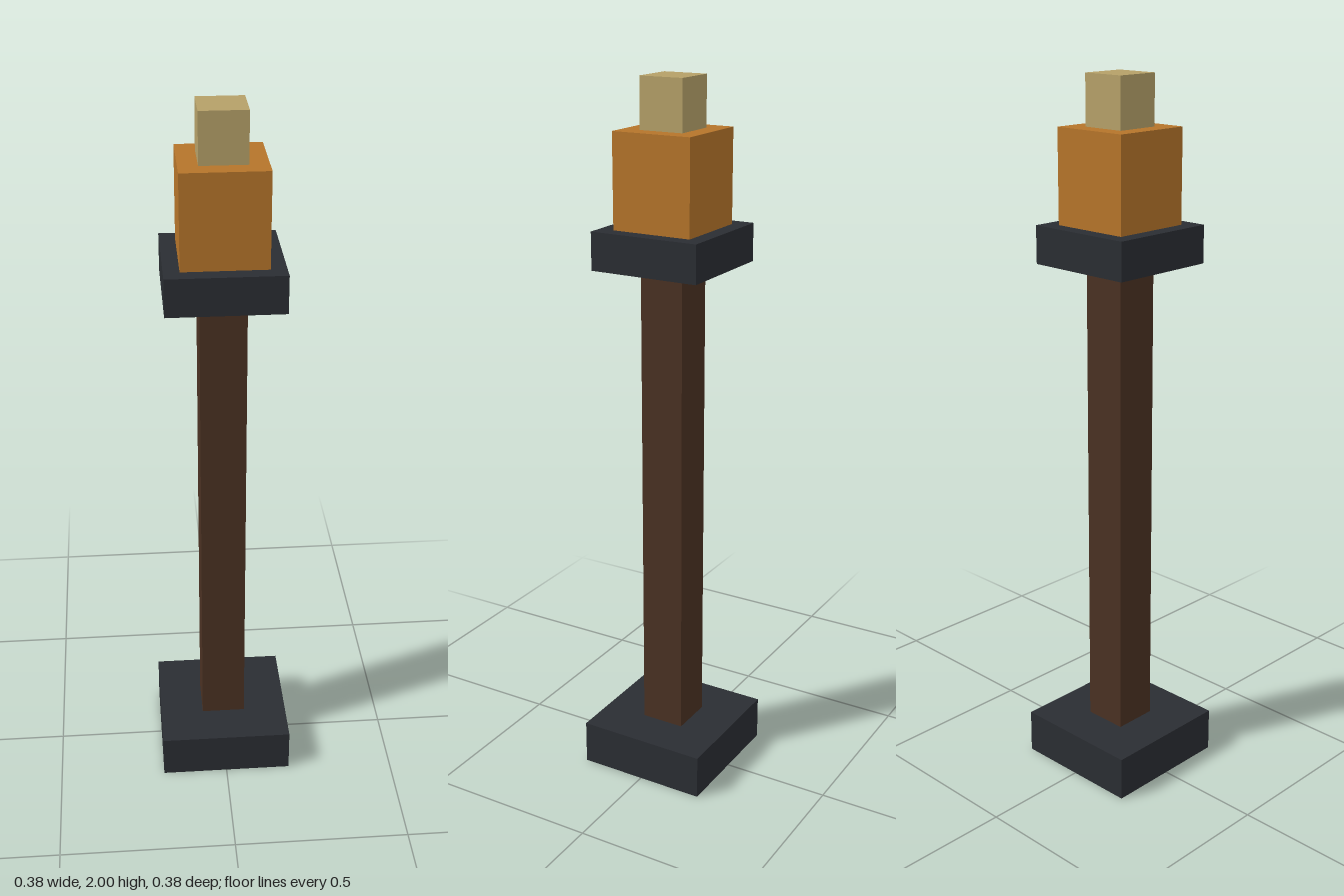
import * as THREE from 'three';

// Stacked square blocks: name, width, bottom, top, colour
const BLOCKS = [
  ['base', 0.38, 0, 0.127, 0x2a2d32],
  ['post', 0.127, 0.127, 1.5, 0x4a3122],
  ['collar', 0.317, 1.5, 1.605, 0x2a2d32],
  ['ember', 0.231, 1.605, 1.863, 0xb5742a],
  ['flameTip', 0.127, 1.863, 2, 0xb5a068],
];

export function createModel() {
  const model = new THREE.Group();
  model.name = 'torch';
  for (const [name, width, bottom, top, color] of BLOCKS) {
    const block = new THREE.Mesh(
      new THREE.BoxGeometry(width, top - bottom, width),
      new THREE.MeshStandardMaterial({ color })
    );
    block.name = name;
    block.position.y = (bottom + top) / 2;
    model.add(block);
  }
  return model;
}
